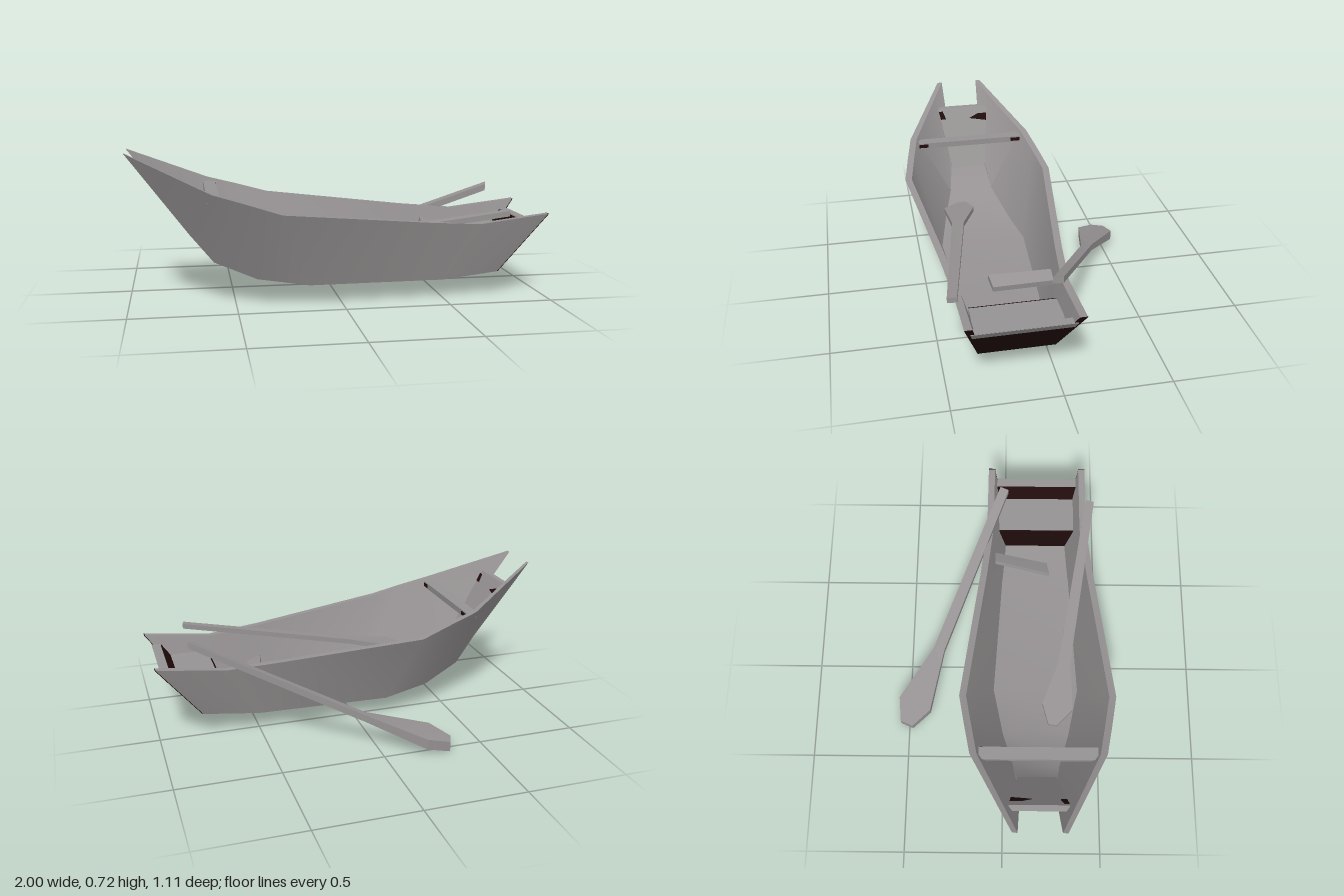
import * as THREE from 'three';
import { toCreasedNormals } from 'three/addons/utils/BufferGeometryUtils.js';

const wood = new THREE.MeshStandardMaterial({ color: 0x969293, side: THREE.DoubleSide });
wood.name = 'grey wood';
const dark = new THREE.MeshStandardMaterial({ color: 0x200c0c, side: THREE.DoubleSide });
dark.name = 'dark wood';

const MID = 0.169; // z of the boat's centre line

// Solid through a list of four-cornered sections, wound outward, sharp at its edges.
function loft(name, sections, material) {
  const tris = [];
  const quad = (a, b, c, d) => tris.push([a, b, c], [a, c, d]);
  for (let i = 0; i < sections.length - 1; i++) {
    const s = sections[i], t = sections[i + 1];
    for (let j = 0; j < 4; j++) {
      const k = (j + 1) % 4;
      quad(s[j], s[k], t[k], t[j]);
    }
  }
  const [a, b, c, d] = sections[0];
  quad(d, c, b, a);
  quad(...sections[sections.length - 1]);
  // Signed volume tells which way the corners run
  const ref = new THREE.Vector3(...a);
  let volume = 0;
  for (const t of tris) {
    const [p, q, r] = t.map((v) => new THREE.Vector3(...v).sub(ref));
    volume += p.dot(q.cross(r));
  }
  if (volume < 0) tris.forEach((t) => t.reverse());
  const geometry = new THREE.BufferGeometry();
  geometry.setAttribute('position', new THREE.Float32BufferAttribute(tris.flat(2), 3));
  const mesh = new THREE.Mesh(toCreasedNormals(geometry, 0.55), material);
  mesh.name = name;
  return mesh;
}

// Board across the boat; each row is [x, y, half width, thickness along x, thickness along y]
function crossBoard(name, rows, material) {
  return loft(name, rows.map(([x, y, h, tx, ty]) => [
    [x, y, MID - h], [x, y, MID + h],
    [x - tx, y - ty, MID + h], [x - tx, y - ty, MID - h],
  ]), material);
}

// Oar from pairs of top edge points, each with its thickness downward
function oar(name, pairs) {
  return loft(name, pairs.map(([p, q, t]) => [
    p, q, [q[0], q[1] - t, q[2]], [p[0], p[1] - t, p[2]],
  ]), wood);
}

export function createModel() {
  const boat = new THREE.Group();
  boat.name = 'rowingBoat';

  // Hull stations, bow to stern: x, y, half width
  const sheer = [
    [-1, 0.72, 0.123], [-0.61, 0.55, 0.325], [-0.45, 0.505, 0.357], [-0.3, 0.46, 0.385],
    [0.4, 0.39, 0.292], [0.66, 0.37, 0.264], [1, 0.41, 0.26],
  ];
  const chine = [
    [-0.71, 0.33, 0.105], [-0.6, 0.2, 0.132], [-0.4, 0.125, 0.19], [-0.16, 0.098, 0.24],
    [0.5, 0.09, 0.2], [0.62, 0.1, 0.19], [0.78, 0.115, 0.177],
  ];

  // Sides, with dark end grain at the stern
  for (const side of [-1, 1]) {
    const z = (h) => MID + side * h;
    const label = side > 0 ? 'frontSide' : 'backSide';
    const sections = sheer.map(([x, y, h], i) => {
      const [bx, by, bh] = chine[i];
      const t = i === 0 ? 0.024 : 0.034;
      return [[x, y, z(h)], [x, y, z(h - t)], [bx, by + 0.005, z(bh - 0.025)], [bx, by, z(bh)]];
    });
    const end = sections[sections.length - 1];
    boat.add(loft(label, sections, wood));
    boat.add(loft(label + 'SternEnd', [end, end.map(([x, y, zz]) => [x + 0.004, y, zz])], dark));
  }

  // Bottom
  boat.add(loft('bottom', chine.map(([x, y, h]) => [
    [x, y + 0.001, MID - h + 0.003], [x, y + 0.001, MID + h - 0.003],
    [x, y + 0.02, MID + h - 0.015], [x, y + 0.02, MID - h + 0.015],
  ]), wood));

  // Bow board with dark worn patches near its top corners
  boat.add(crossBoard('bowBoard', [
    [-0.86, 0.615, 0.14, 0.028, 0], [-0.672, 0.325, 0.094, 0.028, 0],
  ], wood));
  const onBoard = (y, z) => [-0.86 + (0.615 - y) * 0.648, y, z];
  const patches = [
    [[0.6, 0.307], [0.6, 0.285], [0.562, 0.27], [0.562, 0.3]],
    [[0.58, 0.035], [0.58, 0.085], [0.56, 0.135], [0.545, 0.04]],
  ];
  for (const patch of patches) {
    const face = patch.map(([y, z]) => onBoard(y, z));
    boat.add(loft('bowBoardPatch', [face, face.map(([x, y, z]) => [x + 0.003, y, z])], dark));
  }

  // Stern board and its rail
  boat.add(crossBoard('sternBoard', [
    [0.962, 0.355, 0.235, 0.04, 0], [0.787, 0.119, 0.172, 0.04, 0],
  ], dark));
  boat.add(crossBoard('sternRail', [
    [0.97, 0.361, 0.23, 0.042, 0], [0.968, 0.356, 0.23, 0.042, 0],
  ], wood));
  boat.add(crossBoard('sternRailFace', [
    [0.972, 0.36, 0.23, 0.009, 0], [0.944, 0.322, 0.222, 0.009, 0],
  ], wood));

  // Stern seat with its front panel
  boat.add(crossBoard('sternSeat', [
    [0.69, 0.3, 0.2, 0, 0.02], [0.885, 0.3, 0.205, 0, 0.02],
  ], wood));
  boat.add(crossBoard('sternSeatPanel', [
    [0.697, 0.298, 0.2, 0.015, 0], [0.697, 0.115, 0.163, 0.015, 0],
  ], dark));

  // Thwart near the bow, with dark worn ends
  const box = (name, size, position, material) => {
    const mesh = new THREE.Mesh(new THREE.BoxGeometry(...size), material);
    mesh.name = name;
    mesh.position.set(...position);
    boat.add(mesh);
  };
  box('thwart', [0.06, 0.03, 0.565], [-0.603, 0.52, MID], wood);
  for (const z of [0.425, -0.085]) {
    box('thwartPatch', [0.004, 0.018, 0.05], [-0.572, 0.52, z], dark);
  }

  // Loose plank near the stern
  boat.add(loft('loosePlank', [
    [[0.49, 0.33, -0.05], [0.55, 0.305, -0.05], [0.545, 0.277, -0.05], [0.485, 0.302, -0.05]],
    [[0.435, 0.297, 0.238], [0.505, 0.272, 0.227], [0.5, 0.244, 0.227], [0.43, 0.269, 0.238]],
  ], wood));

  // Oars, handle to blade tip
  boat.add(oar('outerOar', [
    [[0.835, 0.51, -0.025], [0.82, 0.502, 0.018], 0.032],
    [[0.05, 0.167, -0.375], [0.04, 0.16, -0.318], 0.036],
    [[-0.2, 0.085, -0.553], [-0.27, 0.087, -0.388], 0.052],
    [[-0.32, 0.05, -0.545], [-0.347, 0.05, -0.482], 0.05],
  ]));
  boat.add(oar('innerOar', [
    [[0.8, 0.44, 0.43], [0.79, 0.437, 0.473], 0.026],
    [[-0.07, 0.305, 0.282], [-0.08, 0.3, 0.342], 0.026],
    [[-0.28, 0.275, 0.2], [-0.31, 0.265, 0.355], 0.026],
    [[-0.385, 0.255, 0.23], [-0.39, 0.25, 0.275], 0.026],
  ]));

  return boat;
}
